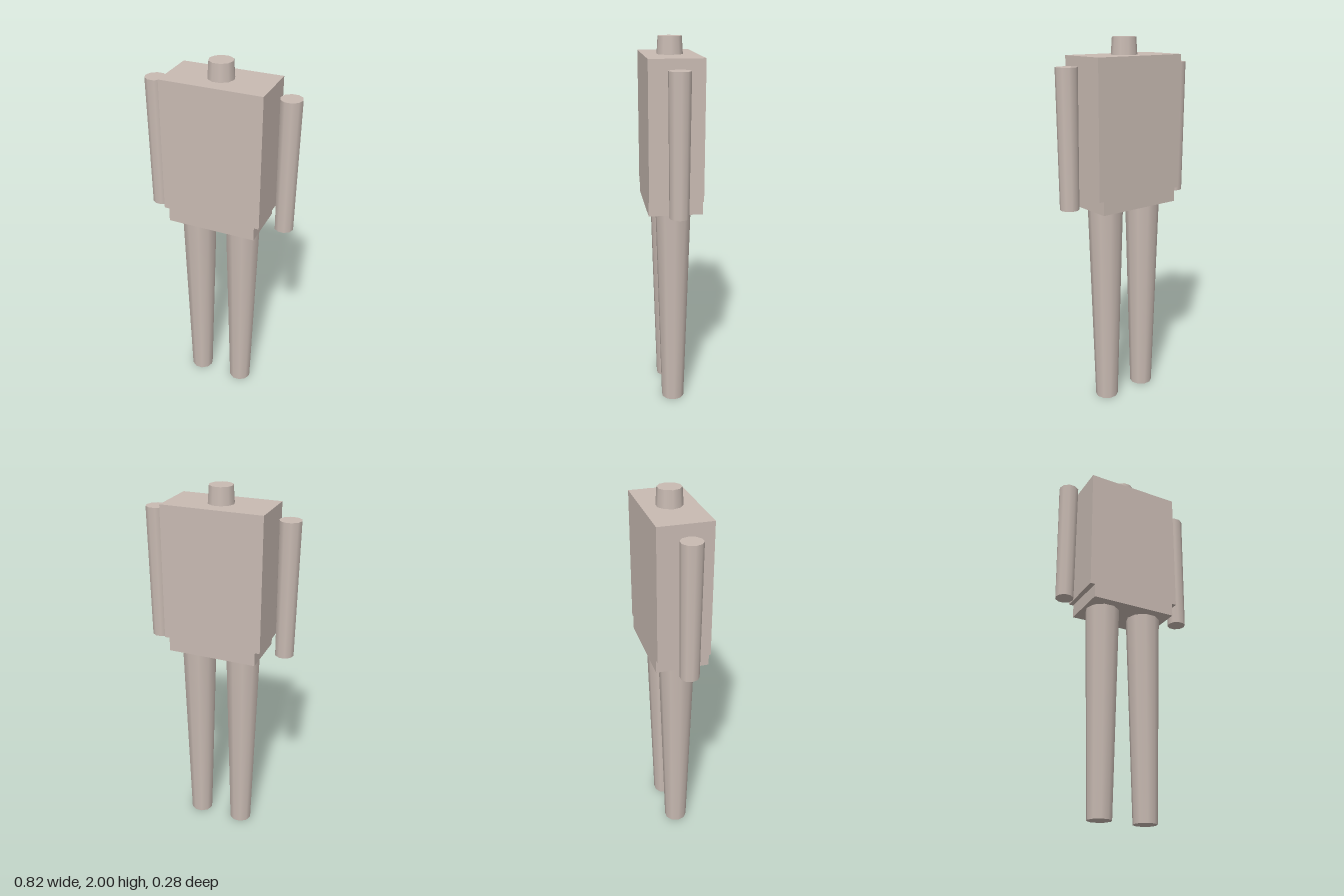
import * as THREE from 'three';

export function createModel() {
  const model = new THREE.Group();
  const clay = new THREE.MeshStandardMaterial({ color: 0xc8bab2 });
  clay.name = 'warm grey';

  function add(name, geometry, x, y) {
    const mesh = new THREE.Mesh(geometry, clay);
    mesh.name = name;
    mesh.position.set(x, y, 0);
    model.add(mesh);
  }

  // Block spanning y0 to y1
  function block(name, width, y0, y1) {
    add(name, new THREE.BoxGeometry(width, y1 - y0, 0.28), 0, (y0 + y1) / 2);
  }

  // Ten-sided tapered limb with corners on the x axis
  function limb(name, rTop, rBottom, x, y0, y1) {
    const geometry = new THREE.CylinderGeometry(rTop, rBottom, y1 - y0, 10, 1, false, Math.PI / 2);
    add(name, geometry, x, (y0 + y1) / 2);
  }

  // Trunk
  block('torso', 0.533, 1.201, 1.911);
  block('pelvis', 0.48, 1.127, 1.201);
  limb('neck', 0.062, 0.068, 0, 1.911, 2);

  // Arms and legs, mirrored
  for (const [side, s] of [['left', 1], ['right', -1]]) {
    limb(side + 'Arm', 0.056, 0.05, s * 0.355, 1.151, 1.864);
    limb(side + 'Leg', 0.094, 0.063, s * 0.127, 0, 1.127);
  }
  return model;
}
